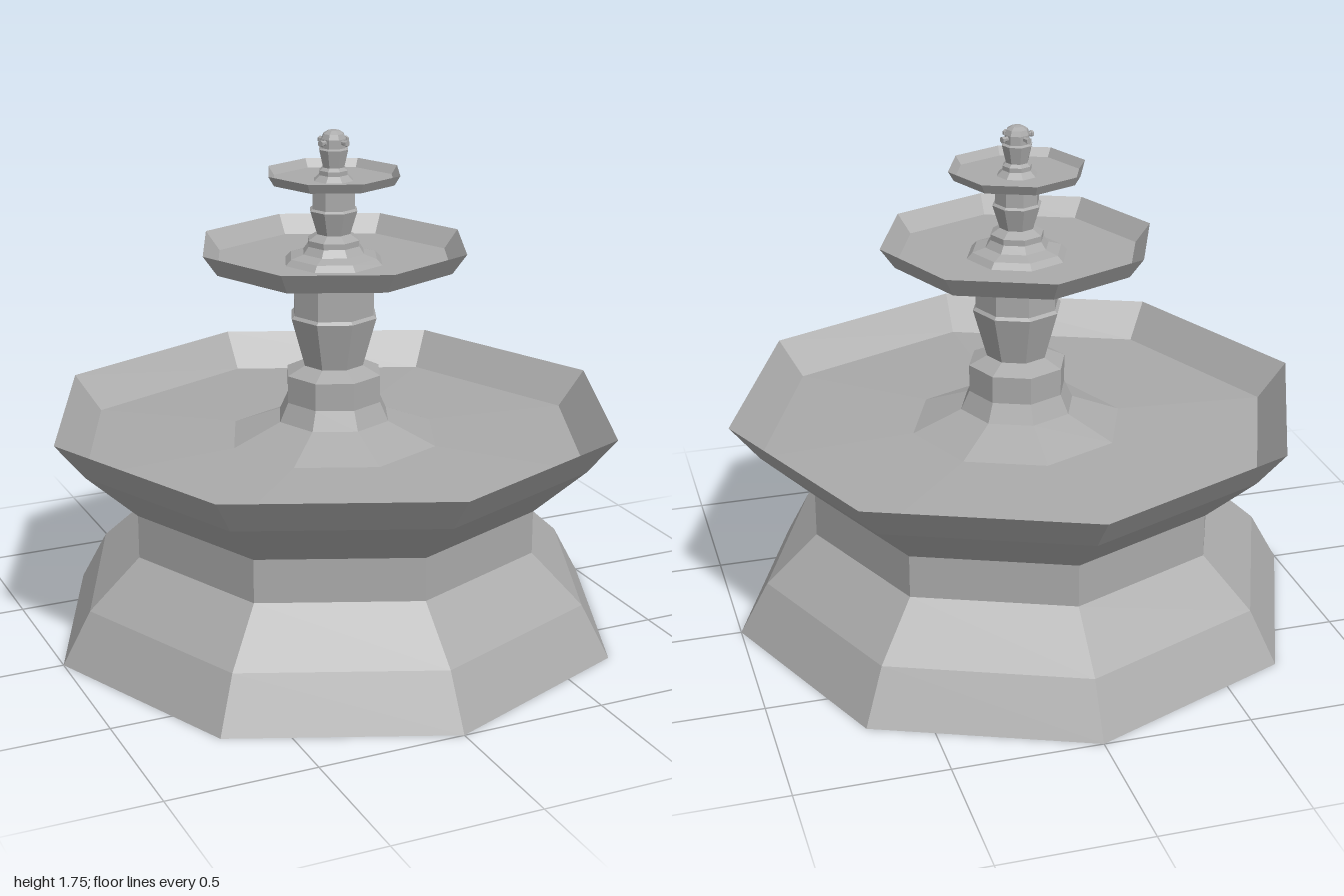
import * as THREE from 'three';

export function createModel() {
  const model = new THREE.Group();
  model.name = 'fountain';
  const stone = new THREE.MeshStandardMaterial({ color: 0xaaaaaa, flatShading: true });
  stone.name = 'grey stone';

  // Adds a faceted solid of revolution; profile runs [radius, height] outside, bottom to top
  function turned(name, profile, sides = 8) {
    const points = profile.map(([r, y]) => new THREE.Vector2(r, y));
    const geometry = new THREE.LatheGeometry(points, sides).toNonIndexed();
    geometry.computeVertexNormals();
    const mesh = new THREE.Mesh(geometry, stone);
    mesh.name = name;
    model.add(mesh);
    return mesh;
  }

  // Flared plinth, waist and large basin with a sunken floor
  turned('mainBasin', [
    [0, 0], [1, 0], [0.9, 0.18], [0.72, 0.345], [0.72, 0.495],
    [0.9, 0.66], [1, 0.785], [0.9, 0.663], [0.37, 0.685], [0, 0.685],
  ]);

  // Lower column: sloped foot, drum, vase and shaft
  turned('lowerColumn', [
    [0.37, 0.685], [0.2, 0.755], [0.17, 0.82], [0.17, 0.915], [0.107, 0.945],
    [0.155, 1.115], [0.145, 1.125], [0.145, 1.3],
  ]);

  // Middle dish
  turned('middleDish', [
    [0, 1.295], [0.42, 1.295], [0.47, 1.365], [0.42, 1.302], [0, 1.302],
  ]);

  // Middle column
  turned('middleColumn', [
    [0.175, 1.302], [0.155, 1.322], [0.11, 1.335], [0.092, 1.36], [0.092, 1.38],
    [0.06, 1.4], [0.085, 1.48], [0.076, 1.487], [0.076, 1.58],
  ]);

  // Upper dish
  turned('upperDish', [
    [0, 1.577], [0.215, 1.577], [0.235, 1.61], [0.215, 1.581], [0, 1.581],
  ]);

  // Finial column with a domed cap
  turned('finial', [
    [0.07, 1.581], [0.05, 1.6], [0.05, 1.615], [0.038, 1.625], [0.052, 1.685],
    [0.043, 1.69], [0.043, 1.72], [0.036, 1.737], [0.02, 1.747], [0, 1.75],
  ]);

  // Four small water spouts around the finial
  for (let i = 0; i < 4; i++) {
    const holder = new THREE.Group();
    holder.name = 'spout';
    holder.rotation.y = Math.PI / 8 + i * Math.PI / 2;
    const pipe = new THREE.Mesh(new THREE.CylinderGeometry(0.008, 0.008, 0.03, 6), stone);
    pipe.name = 'spoutPipe';
    pipe.rotation.x = Math.PI / 2;
    pipe.position.set(0, 1.71, 0.047);
    const lip = new THREE.Mesh(new THREE.CylinderGeometry(0.011, 0.011, 0.008, 6), stone);
    lip.name = 'spoutLip';
    lip.rotation.x = Math.PI / 2;
    lip.position.set(0, 1.71, 0.06);
    holder.add(pipe, lip);
    model.add(holder);
  }
  return model;
}
